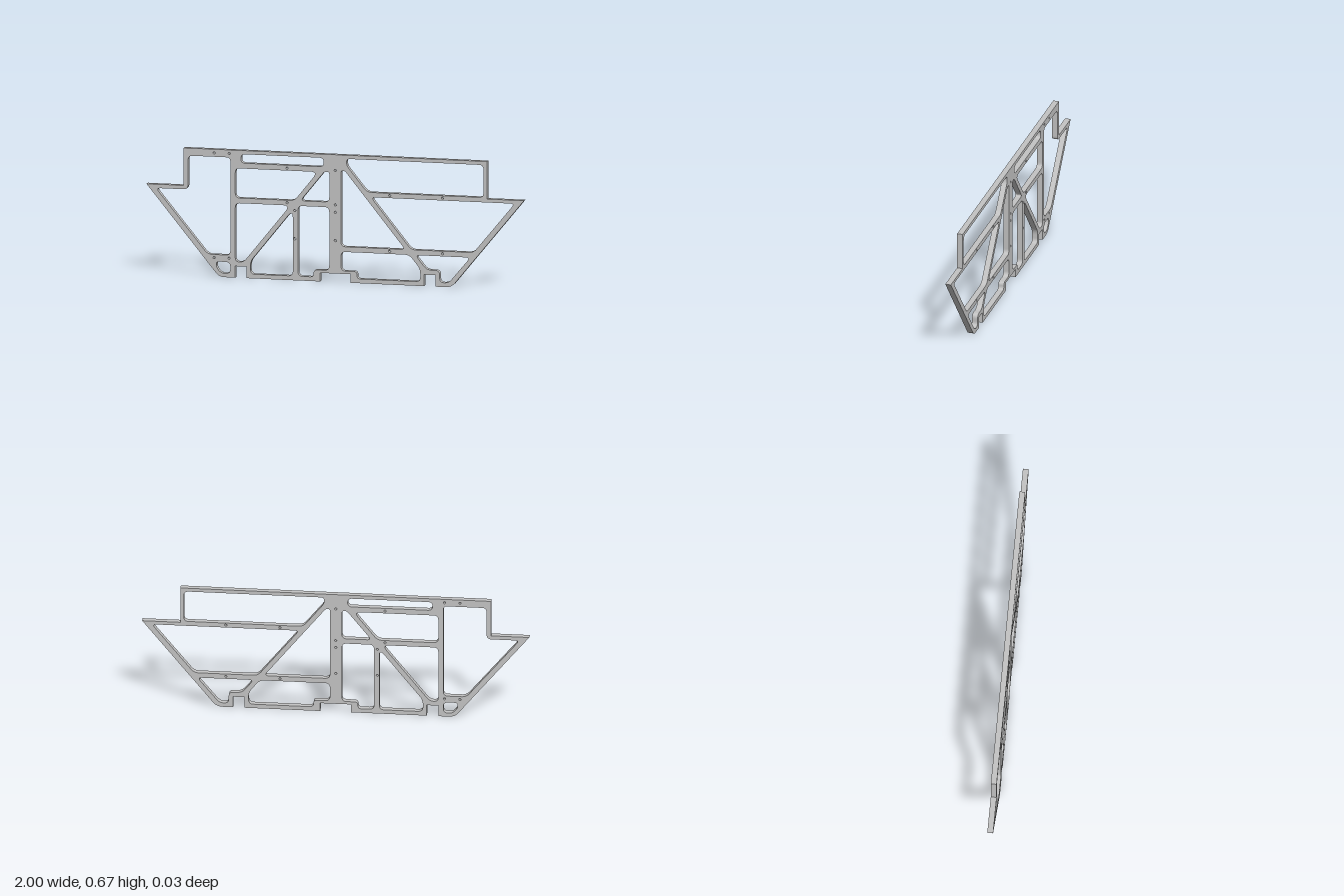
import * as THREE from 'three';

const THICKNESS = 0.03;
const FILLET = 0.025;
const TOP = 0.666;

// Trace a closed polygon with rounded corners; a third value in a point overrides the radius.
function trace(path, pts, radius) {
  const n = pts.length;
  const V = (p) => new THREE.Vector2(p[0], p[1]);
  for (let i = 0; i < n; i++) {
    const p = V(pts[i]), a = V(pts[(i + n - 1) % n]).sub(p), b = V(pts[(i + 1) % n]).sub(p);
    const r = Math.min(pts[i][2] ?? radius, a.length() * 0.49, b.length() * 0.49);
    const start = p.clone().addScaledVector(a.normalize(), r);
    const end = p.clone().addScaledVector(b.normalize(), r);
    if (i === 0) path.moveTo(start.x, start.y);
    else path.lineTo(start.x, start.y);
    if (r > 0) path.quadraticCurveTo(p.x, p.y, end.x, end.y);
  }
  path.closePath();
  return path;
}

// Points on the edges of the diagonal braces at height y; side is 1 or -1
const under = (side, y) => [side * (0.06 + (0.572 - y) * 0.806), y];
const over = (side, y) => [under(side, y)[0] + side * 0.032, y];

// Points on the sloping outer hull line
const hull = (side, y) => [side * (0.615 + 0.819 * y), y];

// Plate section cut through with rounded openings and small screw holes
function section(name, material, outline, openings, screws) {
  const shape = trace(new THREE.Shape(), outline, 0);
  for (const pts of openings) shape.holes.push(trace(new THREE.Path(), pts, FILLET));
  for (const [x, y] of screws) {
    shape.holes.push(new THREE.Path().absarc(x, y, 0.006, 0, Math.PI * 2, true));
  }
  const geometry = new THREE.ExtrudeGeometry(shape, {
    depth: THICKNESS, bevelEnabled: false, curveSegments: 8,
  });
  geometry.translate(0, 0, -THICKNESS / 2);
  const plate = new THREE.Mesh(geometry, material);
  plate.name = name;
  return plate;
}

// Open end with the pointed tip
function endBracket(material) {
  const outline = [
    [-0.6, TOP], [-0.803, TOP], [-0.803, 0.47], [-1, 0.47], hull(-1, 0.217), [-0.758, 0.217],
    [-0.95, 0.45, FILLET], [-0.78, 0.45, FILLET], [-0.78, 0.627, FILLET], [-0.6, 0.627],
  ];
  return section('endBracket', material, outline, [], [[-0.642, 0.647]]);
}

// Left half with the foot, diagonal brace and uprights
function leftFrame(material) {
  const outline = [
    [-0.615, 0, 0.03], [-0.53, 0], [-0.53, 0.06], [-0.47, 0.06], [-0.47, 0],
    [-0.08, 0], [-0.08, 0.045], [-0.018, 0.045], [-0.018, TOP], [-0.6, TOP], [-0.6, 0.627],
    [-0.556, 0.627, FILLET], [-0.556, 0.116, FILLET], [-0.675, 0.116, FILLET],
    [-0.758, 0.217], hull(-1, 0.217),
  ];
  const footWindow = [[-0.63, 0.08], [-0.556, 0.08], [-0.556, 0.02], [-0.605, 0.02], [-0.63, 0.05]];
  const topSlot = [[-0.5, 0.647], [-0.062, 0.647], [-0.062, 0.6], [-0.5, 0.6]];
  const upperBay = [[-0.53, 0.572], [...over(-1, 0.572), 0.04], over(-1, 0.417), [-0.53, 0.417]];
  const upperWedge = [under(-1, 0.575), [-0.032, 0.575], [-0.032, 0.417], under(-1, 0.417)];
  const lowerWedge = [[-0.53, 0.39], [...over(-1, 0.39), 0.04], over(-1, 0.083), [-0.53, 0.083]];
  const braceBay = [[...under(-1, 0.367), 0.04], [-0.225, 0.022], [-0.45, 0.022], under(-1, 0.088)];
  const postBay = [
    [-0.198, 0.39], [-0.032, 0.39], [-0.032, 0.06], [-0.115, 0.06], [-0.115, 0.022], [-0.198, 0.022],
  ];
  const openings = [footWindow, topSlot, upperBay, upperWedge, lowerWedge, braceBay, postBay];
  const screws = [
    [-0.562, 0.647], [-0.642, 0.1], [-0.562, 0.1],
    [-0.255, 0.584], [-0.255, 0.404], [-0.215, 0.365], [-0.215, 0.217],
  ];
  return section('leftFrame', material, outline, openings, screws);
}

// Right half with the centre post, diagonal brace and pointed tip
function rightFrame(material) {
  const outline = [
    [-0.018, 0.045], [0.08, 0.045], [0.08, 0], [0.47, 0], [0.47, 0.06], [0.53, 0.06], [0.53, 0],
    [0.615, 0, 0.03], [1, 0.47], [0.803, 0.47], [0.803, TOP], [-0.018, TOP],
  ];
  const postBay = [[0.03, 0.583], under(1, 0.583), under(1, 0.187), [0.03, 0.187]];
  const upperBay = [[0.06, 0.647], [0.785, 0.647], [0.785, 0.477], over(1, 0.477), over(1, 0.612)];
  const tipBay = [over(1, 0.452), [0.95, 0.452], [0.732, 0.187], over(1, 0.187)];
  const lowerBay = [
    [0.03, 0.16], under(1, 0.16), under(1, 0.088), [0.45, 0.022],
    [0.115, 0.022], [0.115, 0.06], [0.03, 0.06],
  ];
  const footBay = [over(1, 0.16), [0.715, 0.16], [0.6, 0.022], [0.553, 0.022], [0.553, 0.085], over(1, 0.085)];
  const screws = [0.584, 0.404, 0.365, 0.217].map((y) => [0, y]);
  for (const x of [0.288, 0.568]) screws.push([x, 0.465], [x, 0.174]);
  return section('rightFrame', material, outline, [postBay, upperBay, tipBay, lowerBay, footBay], screws);
}

export function createModel() {
  const group = new THREE.Group();
  group.name = 'sideFrame';
  const metal = new THREE.MeshStandardMaterial({ color: 0xc4c4c4 });
  metal.name = 'light grey metal';
  group.add(endBracket(metal), leftFrame(metal), rightFrame(metal));
  return group;
}
